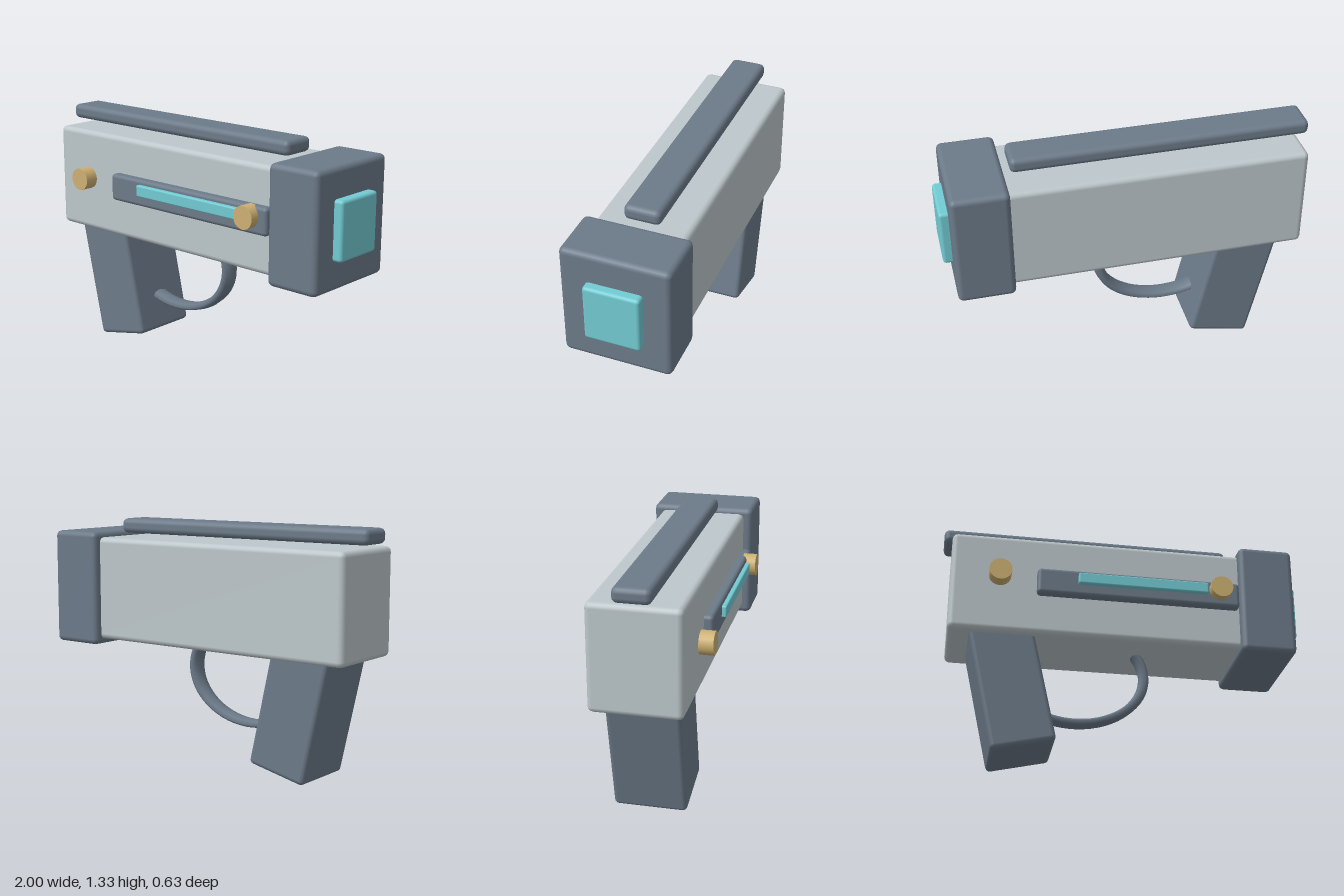
import * as THREE from 'three';
import { RoundedBoxGeometry } from 'three/addons/geometries/RoundedBoxGeometry.js';

const paint = (name, color) => {
  const m = new THREE.MeshStandardMaterial({ color });
  m.name = name;
  return m;
};

export function createModel() {
  const slate = paint('slate', 0x6c7a89);
  const grey = paint('light grey', 0xbdc7cb);
  const aqua = paint('aqua', 0x72cbd3);
  const brass = paint('brass', 0xcdb072);
  const model = new THREE.Group();
  model.name = 'toyBlaster';

  const add = (name, geometry, material) => {
    const mesh = new THREE.Mesh(geometry, material);
    mesh.name = name;
    model.add(mesh);
    return mesh;
  };

  // Rounded block given by its limits on each axis
  const block = (name, material, [x0, x1], [y0, y1], [z0, z1], radius) => {
    const geometry = new RoundedBoxGeometry(x1 - x0, y1 - y0, z1 - z0, 2, radius);
    const mesh = add(name, geometry, material);
    mesh.position.set((x0 + x1) / 2, (y0 + y1) / 2, (z0 + z1) / 2);
    return mesh;
  };

  // Main housing, muzzle and top rail
  block('body', grey, [-0.955, 0.68], [0.658, 1.235], [-0.272, 0.215], 0.03);
  block('muzzle', slate, [0.642, 0.95], [0.626, 1.266], [-0.317, 0.265], 0.03);
  block('muzzleLens', aqua, [0.93, 1.0], [0.787, 1.105], [-0.175, 0.125], 0.018);
  block('topRail', slate, [-1.0, 0.612], [1.256, 1.338], [-0.125, 0.073], 0.03);

  // Side panel with its light strip
  block('sidePanel', slate, [-0.487, 0.636], [0.88, 1.03], [0.2, 0.265], 0.02);
  block('lightStrip', aqua, [-0.265, 0.455], [0.942, 1.005], [0.25, 0.29], 0.008);

  // Round side buttons
  for (const x of [-0.69, 0.525]) {
    const geometry = new THREE.CylinderGeometry(0.062, 0.062, 0.075, 20).rotateX(Math.PI / 2);
    add('button', geometry, brass).position.set(x, 0.974, 0.28);
  }

  // Raked grip, its top buried in the body
  const grip = add('grip', new RoundedBoxGeometry(0.348, 0.75, 0.392, 2, 0.025), slate);
  grip.position.set(-0.604, 0.407, -0.022);
  grip.rotation.z = 0.22;

  // Oval trigger guard running from the grip to the underside of the body
  const rad = THREE.MathUtils.degToRad;
  const guardArc = new THREE.TorusGeometry(0.285, 0.022, 8, 28, rad(170)).rotateZ(rad(235));
  const guard = add('triggerGuard', guardArc, slate);
  guard.scale.set(1.34, 1, 2.5);
  guard.position.set(-0.24, 0.53, -0.025);

  return model;
}
